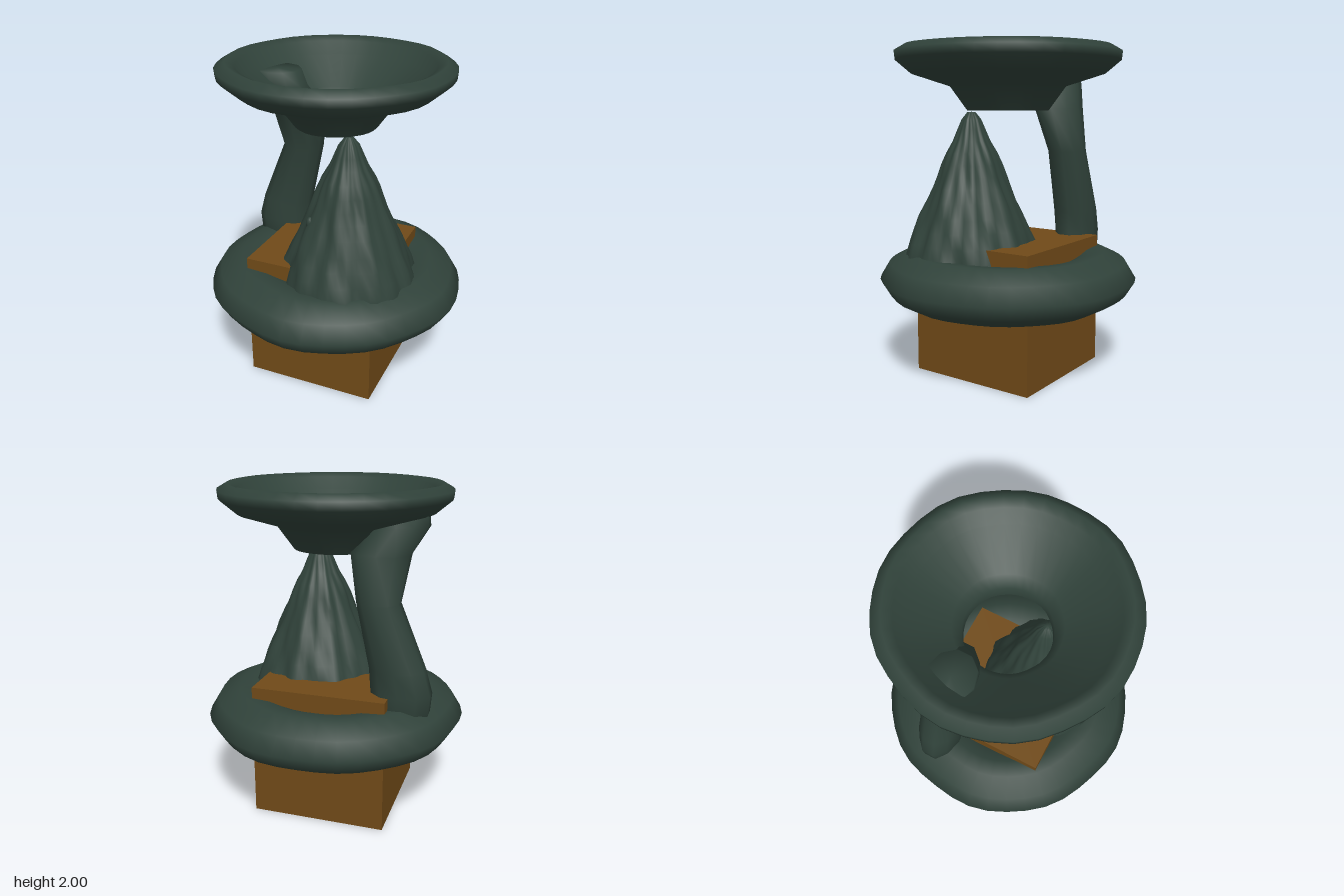
import * as THREE from 'three';
import { mergeVertices } from 'three/addons/utils/BufferGeometryUtils.js';

// Revolve a profile of [radius, height], move its vertices by a rule, weld the seam
function turned(profile, sides, rule) {
  const geo = new THREE.LatheGeometry(profile.map(([r, y]) => new THREE.Vector2(r, y)), sides);
  geo.deleteAttribute('uv');
  geo.deleteAttribute('normal');
  const pos = geo.attributes.position;
  const v = new THREE.Vector3();
  for (let i = 0; i < pos.count; i++) {
    v.fromBufferAttribute(pos, i);
    rule(v, Math.atan2(v.x, v.z));
    pos.setXYZ(i, v.x, v.y, v.z);
  }
  const welded = mergeVertices(geo, 1e-4);
  welded.computeVertexNormals();
  return welded;
}

// Gentle hand-shaped unevenness around the axis
const uneven = (amount, phase) => (v, a) => {
  const k = 1 + amount * (Math.sin(a * 5 + phase) * 0.5 + Math.sin(a * 9 + phase * 2) * 0.5);
  v.x *= k;
  v.z *= k;
};

export function createModel() {
  const model = new THREE.Group();
  const stone = new THREE.MeshStandardMaterial({ name: 'dark green', color: 0x30423a });
  const wood = new THREE.MeshStandardMaterial({ name: 'brown', color: 0x704a18 });
  const add = (name, geo, mat) => {
    const mesh = new THREE.Mesh(geo, mat);
    mesh.name = name;
    model.add(mesh);
    return mesh;
  };

  // Square block the rest stands on
  add('baseBlock', new THREE.BoxGeometry(0.815, 0.82, 0.82), wood).position.set(-0.012, 0.41, 0);

  // Thick ring around the block
  add('baseRing', turned([
    [0.3, 0.5], [0.42, 0.435], [0.62, 0.435], [0.74, 0.5], [0.795, 0.59], [0.735, 0.69],
    [0.6, 0.755], [0.5, 0.745], [0.4, 0.7], [0.3, 0.6], [0.3, 0.5],
  ], 40, uneven(0.013, 0.8)), stone);

  // Open bowl with a rounded lip and a hole through its neck
  add('bowl', turned([
    [0.25, 1.615], [0.355, 1.76], [0.59, 1.835], [0.685, 1.915], [0.69, 1.965], [0.63, 2],
    [0.575, 1.975], [0.52, 1.9], [0.3, 1.75], [0.25, 1.68], [0.245, 1.615], [0.25, 1.615],
  ], 36, uneven(0.01, 2)), stone);

  // Bent post: each section is [y, centre x, centre z, half width, half depth]
  const sections = [
    [0.6, -0.47, -0.23, 0.17, 0.12],
    [0.83, -0.475, -0.23, 0.185, 0.122],
    [0.97, -0.45, -0.23, 0.17, 0.125],
    [1.36, -0.33, -0.232, 0.13, 0.115],
    [1.63, -0.325, -0.17, 0.178, 0.142],
    [1.78, -0.42, -0.11, 0.17, 0.14],
    [1.88, -0.43, -0.095, 0.15, 0.13],
  ];
  const last = sections.length - 1;
  const postProfile = [[0, 0], ...sections.map((s, i) => [1, i]), [0, last]];
  add('post', turned(postProfile, 10, (v) => {
    const [y, cx, cz, w, d] = sections[Math.round(v.y)];
    v.set(cx + v.x * w, y, cz + v.z * d);
  }), stone);

  // Ridged mountain-like cone
  const slope = [
    [0.44, 0.62], [0.41, 0.74], [0.385, 0.82], [0.35, 0.9], [0.315, 0.98], [0.275, 1.07],
    [0.24, 1.15], [0.21, 1.22], [0.185, 1.29], [0.155, 1.36], [0.115, 1.43], [0.085, 1.5],
    [0.06, 1.56], [0.025, 1.605], [0, 1.607],
  ];
  const cone = add('ridgedCone', turned(slope, 72, (v, a) => {
    const drift = Math.sin(v.y * 7) * 0.35;
    const ridges = Math.sin(a * 9 + drift) * 0.028
      + Math.sin(a * 17 + 1.3 - drift * 2) * 0.022
      + Math.sin(a * 5 + v.y * 11) * 0.018
      + Math.sin(a * 13 + v.y * 23) * 0.012;
    v.x *= 1 + ridges;
    v.z *= (1 + ridges) * 0.96;
  }), stone);
  cone.position.set(0.15, 0, 0.165);

  // Small drop on the cone's side
  const drop = add('drop', new THREE.SphereGeometry(0.03, 12, 8), stone);
  drop.scale.set(0.8, 1.3, 0.8);
  drop.position.set(-0.02, 1.11, 0.34);

  return model;
}
